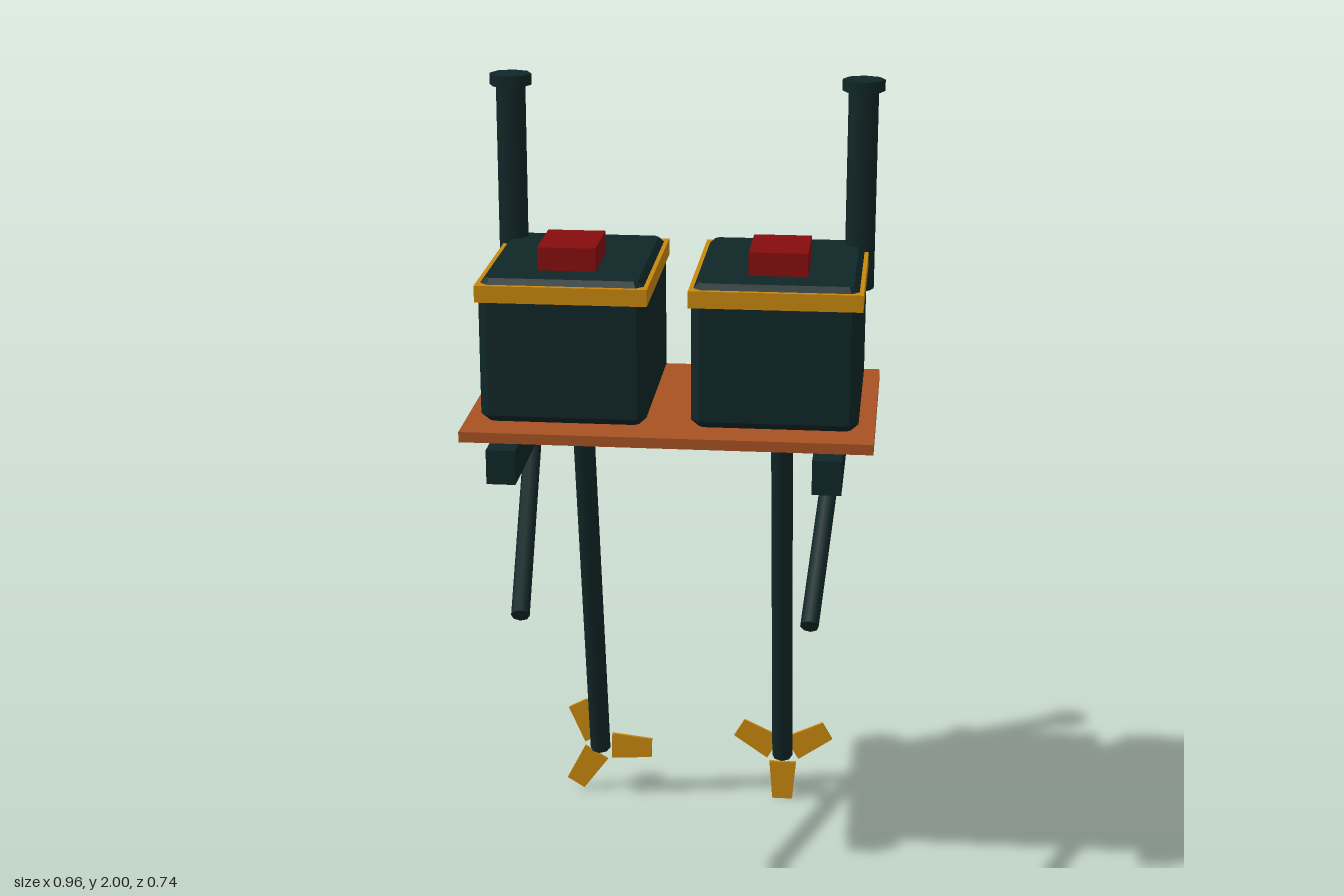
import * as THREE from 'three';

const paint = (name, color) => {
  const m = new THREE.MeshStandardMaterial({ color });
  m.name = name;
  return m;
};

// Rectangle w x d with cut corners
function cutRect(w, d, c) {
  const x = w / 2, y = d / 2;
  return new THREE.Shape([
    [-x + c, -y], [x - c, -y], [x, -y + c], [x, y - c],
    [x - c, y], [-x + c, y], [-x, y - c], [-x, -y + c],
  ].map(([a, b]) => new THREE.Vector2(a, b)));
}

export function createModel() {
  const dark = paint('darkMetal', 0x102627);
  const orange = paint('orangeDeck', 0xa85223);
  const gold = paint('gold', 0xca880e);
  const red = paint('red', 0x870d0d);

  const model = new THREE.Group();
  model.name = 'twinEngineRig';

  const add = (parent, name, geometry, material) => {
    const mesh = new THREE.Mesh(geometry, material);
    mesh.name = name;
    parent.add(mesh);
    return mesh;
  };

  // Box given by its limits on each axis
  const box = (parent, name, material, [x0, x1], [y0, y1], [z0, z1]) =>
    add(parent, name, new THREE.BoxGeometry(x1 - x0, y1 - y0, z1 - z0), material)
      .position.set((x0 + x1) / 2, (y0 + y1) / 2, (z0 + z1) / 2);

  // Eight-sided rod between two points
  const rod = (parent, name, material, from, to, radius) => {
    const a = new THREE.Vector3(...from), b = new THREE.Vector3(...to);
    const g = new THREE.CylinderGeometry(radius, radius, a.distanceTo(b), 8);
    const mesh = add(parent, name, g, material);
    mesh.position.copy(a).add(b).multiplyScalar(0.5);
    mesh.quaternion.setFromUnitVectors(new THREE.Vector3(0, 1, 0), b.sub(a).normalize());
  };

  // Deck and rear cross bar
  box(model, 'deck', orange, [-0.48, 0.48], [1.23, 1.255], [-0.275, 0.33]);
  box(model, 'crossBar', dark, [-0.36, 0.36], [1.155, 1.21], [-0.287, -0.23]);

  // Chamfered engine housing
  const bevel = 0.018, height = 0.345;
  const housing = new THREE.ExtrudeGeometry(cutRect(0.39 - 2 * bevel, 0.485 - 2 * bevel, 0.01), {
    depth: height - 2 * bevel, bevelEnabled: true, bevelSegments: 1,
    bevelSize: bevel, bevelThickness: bevel,
  });
  housing.translate(0, 0, bevel).rotateX(-Math.PI / 2);

  // Tapered flat propeller blade, pointing along +x
  const bladeShape = new THREE.Shape([
    new THREE.Vector2(0.028, -0.036), new THREE.Vector2(0.137, -0.027),
    new THREE.Vector2(0.137, 0.027), new THREE.Vector2(0.028, 0.036),
  ]);
  const blade = new THREE.ExtrudeGeometry(bladeShape, { depth: 0.008, bevelEnabled: false });
  blade.translate(0, 0, -0.004);

  for (const s of [1, -1]) {
    const side = s > 0 ? 'left' : 'right';
    const span = (a, b) => (s > 0 ? [a, b] : [-b, -a]);

    // Engine block with band, top button and rear panel
    const engine = new THREE.Group();
    engine.name = side + 'Engine';
    model.add(engine);
    add(engine, 'housing', housing, dark).position.set(s * 0.247, 1.255, 0.0125);
    box(engine, 'band', gold, span(0.047, 0.447), [1.547, 1.587], [-0.237, 0.262]);
    box(engine, 'topButton', red, span(0.178, 0.315), [1.59, 1.655], [-0.022, 0.157]);
    box(engine, 'rearPanel', dark, span(0.103, 0.39), [1.31, 1.495], [-0.245, -0.22]);

    // Exhaust stack with cap
    rod(engine, 'exhaustPipe', dark, [s * 0.425, 1.49, -0.178], [s * 0.425, 1.98, -0.178], 0.036);
    rod(engine, 'exhaustCap', dark, [s * 0.425, 1.973, -0.178], [s * 0.425, 2, -0.178], 0.051);

    // Clamp rail and steering handle
    box(model, side + 'Rail', dark, span(0.342, 0.41), [1.143, 1.225], [-0.313, 0.368]);
    rod(model, side + 'Handle', dark, [s * 0.38, 1.142, -0.155], [s * 0.342, 0.807, 0.343], 0.022);

    // Drive shaft with three-bladed propeller
    rod(model, side + 'Shaft', dark, [s * 0.247, 1.225, -0.071], [s * 0.247, 0.146, -0.338], 0.027);
    const propeller = new THREE.Group();
    propeller.name = side + 'Propeller';
    propeller.position.set(s * 0.247, 0.14, -0.367);
    propeller.rotation.z = s > 0 ? Math.PI / 6 : -0.03;
    for (let i = 0; i < 3; i++) {
      add(propeller, 'blade', blade, gold).rotation.z = (i * 2 * Math.PI) / 3;
    }
    model.add(propeller);
  }

  return model;
}
